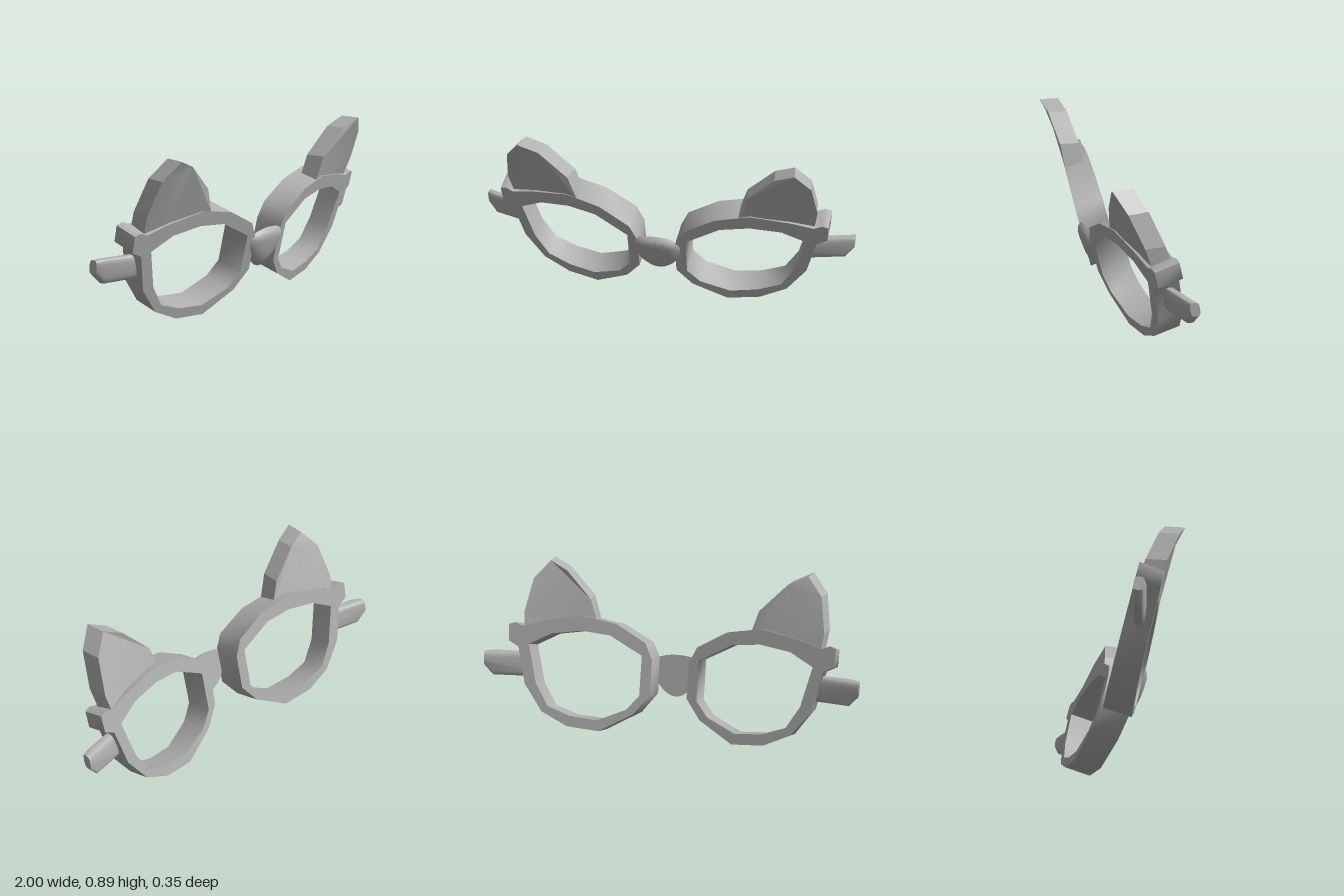
import * as THREE from 'three';
import { toCreasedNormals } from 'three/addons/utils/BufferGeometryUtils.js';
import { ConvexGeometry } from 'three/addons/geometries/ConvexGeometry.js';

const grey = new THREE.MeshStandardMaterial({ color: 0xb0b0b0 });
grey.name = 'plain grey';

// Outlines for the +x half, counter-clockwise, mirrored for the other side
const rimOuter = [[0.87, 0.45], [0.872, 0.535], [0.84, 0.545], [0.8, 0.528], [0.68, 0.56], [0.48, 0.592],
  [0.3, 0.557], [0.14, 0.465], [0.1, 0.38], [0.1, 0.2], [0.18, 0.1], [0.36, 0.003],
  [0.53, 0.02], [0.67, 0.09], [0.77, 0.23], [0.815, 0.42]];
const rimHole = [[0.76, 0.435], [0.64, 0.495], [0.48, 0.515], [0.33, 0.497], [0.155, 0.4], [0.155, 0.195],
  [0.22, 0.12], [0.375, 0.058], [0.52, 0.075], [0.64, 0.12], [0.71, 0.235]];
const earOutline = [[0.8, 0.52], [0.815, 0.63], [0.785, 0.8], [0.705, 0.89], [0.605, 0.845],
  [0.465, 0.705], [0.425, 0.58], [0.48, 0.567], [0.68, 0.54]];

function add(group, geometry, name, crease = 0.6) {
  const mesh = new THREE.Mesh(toCreasedNormals(geometry, crease), grey);
  mesh.name = name;
  group.add(mesh);
}

// Extrudes an outline, then lays its front on a tilted surface and slides its back by an offset
function slab(side, outline, holes, frontZ, backOffset) {
  const toPoints = list => {
    const points = list.map(([x, y]) => new THREE.Vector2(x * side, y));
    return side < 0 ? points.reverse() : points;
  };
  const shape = new THREE.Shape(toPoints(outline));
  shape.holes = holes.map(hole => new THREE.Path(toPoints(hole)));
  const geometry = new THREE.ExtrudeGeometry(shape, { depth: 1, bevelEnabled: false });
  const p = geometry.attributes.position;
  for (let i = 0; i < p.count; i++) {
    const x = Math.abs(p.getX(i)), y = p.getY(i), back = 1 - p.getZ(i);
    const [dx, dy, dz] = backOffset(x);
    p.setXYZ(i, side * (x + dx * back), y + dy * back, frontZ(x, y) + dz * back);
  }
  return geometry;
}

const rimFront = (x, y) => 0.04 + 0.24 * y - 0.17 * x;

// The ear's inner upper edge curls slightly backwards
function earFront(x, y) {
  const curl = THREE.MathUtils.clamp((y - 0.6) / 0.1, 0, 1) * THREE.MathUtils.clamp((0.705 - x) / 0.1, 0, 1);
  return -0.045 + 0.4 * y - 0.195 * x - 0.025 * curl;
}

// Short arm stub: rounded, tilted sections [x, y, z, half height, half depth]
function temple(side) {
  const sections = [[0.775, 0.352, -0.076, 0.064, 0.028], [0.955, 0.359, -0.121, 0.065, 0.028],
    [1.0, 0.385, -0.136, 0.036, 0.024]];
  const round = v => Math.sign(v) * Math.pow(Math.abs(v), 0.6);
  const points = [];
  for (const [x, y, z, h, d] of sections) {
    for (let i = 0; i < 16; i++) {
      const a = (i / 16) * Math.PI * 2, up = h * round(Math.sin(a));
      points.push(new THREE.Vector3(side * x, y + up, z + 0.16 * up + d * round(Math.cos(a))));
    }
  }
  return new ConvexGeometry(points);
}

// Rounded triangular bridge: flat tilted back and domed front
function nose() {
  const half = [[0, 0.411], [0.07, 0.404], [0.122, 0.382], [0.134, 0.35], [0.12, 0.295], [0.085, 0.24], [0.035, 0.203]];
  const mirrored = half.slice(1).reverse().map(([x, y]) => [-x, y]);
  const outline = [...half, [0, 0.195], ...mirrored].map(([x, y]) => new THREE.Vector3(x, y, 0));
  const edge = new THREE.CatmullRomCurve3(outline, true).getPoints(28);
  const points = [];
  for (const s of [1, 0.9, 0.75, 0.55, 0.25]) {
    for (const q of edge) {
      const y = 0.335 + (q.y - 0.335) * s;
      points.push(new THREE.Vector3(q.x * s, y, 0.008 + 0.25 * y + 0.037 * (1 - Math.pow(s, 4))));
    }
  }
  return new ConvexGeometry(points);
}

export function createModel() {
  const model = new THREE.Group();
  model.name = 'catEarGlasses';
  for (const [side, label] of [[1, 'left'], [-1, 'right']]) {
    const half = new THREE.Group();
    half.name = label + 'Half';
    // Lens rim with hinge lug
    add(half, slab(side, rimOuter, [rimHole], rimFront, x => [0, 0.036, -0.157 + 0.042 * x]), label + 'Rim', 1.1);
    // Pointed ear on top of the rim
    add(half, slab(side, earOutline, [], earFront, () => [-0.012, 0, -0.102]), label + 'Ear', 0.3);
    add(half, temple(side), label + 'Temple');
    model.add(half);
  }
  add(model, nose(), 'noseBridge');
  return model;
}
